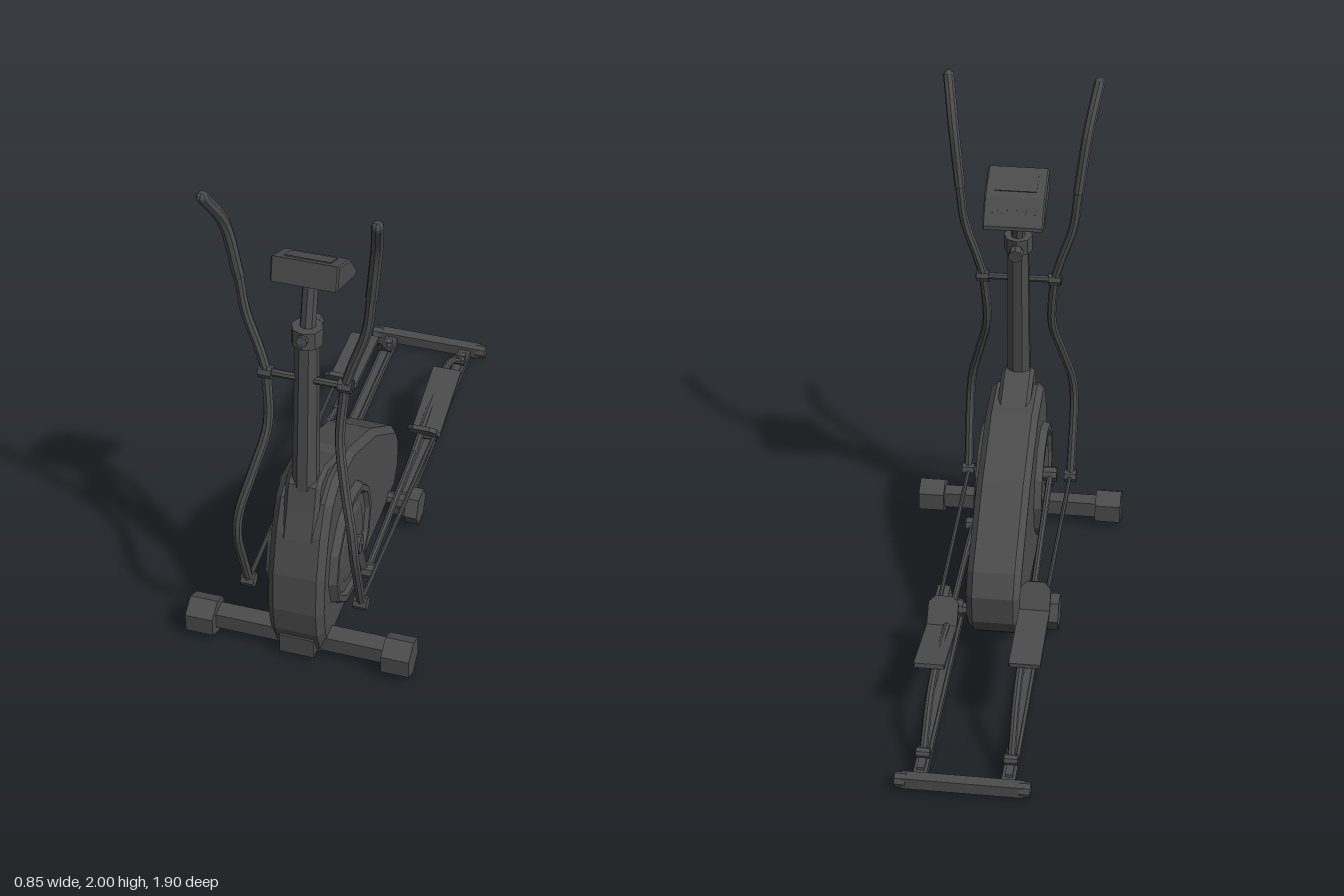
import * as THREE from 'three';

const darkGrey = new THREE.MeshStandardMaterial({ color: 0x4c4c4c, flatShading: true });
darkGrey.name = 'darkGrey';

const V = (x, y, z) => new THREE.Vector3(x, y, z);

export function createModel() {
  const model = new THREE.Group();
  model.name = 'ellipticalTrainer';

  const add = (name, geometry, x = 0, y = 0, z = 0) => {
    const mesh = new THREE.Mesh(geometry, darkGrey);
    mesh.name = name;
    mesh.position.set(x, y, z);
    model.add(mesh);
    return mesh;
  };
  const box = (name, w, h, d, x, y, z) => add(name, new THREE.BoxGeometry(w, h, d), x, y, z);

  // Straight bar between two points; four sides make a square bar
  const bar = (name, a, b, radius, sides = 8, endRadius = radius) => {
    const mesh = add(name, new THREE.CylinderGeometry(endRadius, radius, a.distanceTo(b), sides));
    mesh.position.copy(a).add(b).multiplyScalar(0.5);
    mesh.quaternion.setFromUnitVectors(V(0, 1, 0), b.clone().sub(a).normalize());
    return mesh;
  };
  // Bar lying across the machine
  const crossBar = (name, x, y, z, length, radius, sides = 8) =>
    bar(name, V(x - length / 2, y, z), V(x + length / 2, y, z), radius, sides);

  // Bent tube with closed ends
  const bentTube = (name, points, radius, segments = 24) => {
    const curve = new THREE.CatmullRomCurve3(points, false, 'centripetal');
    add(name, new THREE.TubeGeometry(curve, segments, radius, 8));
    for (const p of [points[0], points[points.length - 1]]) {
      add(name + 'End', new THREE.SphereGeometry(radius, 8, 6), p.x, p.y, p.z);
    }
  };

  // Side outline given as [z, y], extruded across x
  const sideExtrude = (name, outline, width, bevel = 0) => {
    const shape = new THREE.Shape(outline.map(([z, y]) => new THREE.Vector2(-z, y)));
    const g = new THREE.ExtrudeGeometry(shape, {
      depth: width - 2 * bevel, bevelEnabled: bevel > 0, bevelSize: bevel,
      bevelThickness: bevel, bevelOffset: -bevel, bevelSegments: 1,
    });
    g.translate(0, 0, bevel - width / 2);
    g.rotateY(Math.PI / 2);
    return add(name, g);
  };

  // Flywheel housing
  sideExtrude('housing', [
    [0.9, 0.04], [0.935, 0.14], [0.947, 0.25], [0.93, 0.41], [0.88, 0.57], [0.82, 0.68],
    [0.73, 0.725], [0.53, 0.7], [0.245, 0.555], [-0.04, 0.33], [-0.085, 0.24], [-0.075, 0.12], [-0.02, 0.04],
  ], 0.21, 0.025);
  sideExtrude('housingNeck', [
    [0.82, 0.75], [0.79, 0.77], [0.725, 0.775], [0.5, 0.67], [0.5, 0.55], [0.89, 0.55], [0.85, 0.65],
  ], 0.13, 0.015);
  box('housingBase', 0.16, 0.04, 0.88, 0, 0.035, 0.45);

  // Side wheels: raised rim around a recessed face with a raised centre
  const hubZ = 0.635, hubY = 0.34;
  const wheelProfile = [[0, 0.128], [0.13, 0.128], [0.155, 0.118], [0.19, 0.118],
    [0.2, 0.134], [0.222, 0.134], [0.235, 0.1]].map(([r, h]) => new THREE.Vector2(r, h)).reverse();
  for (const s of [1, -1]) {
    const wheel = add('sideWheel', new THREE.LatheGeometry(wheelProfile, 12), 0, hubY, hubZ);
    wheel.rotation.z = -s * Math.PI / 2;
  }

  // Front stabiliser
  box('frontStabiliser', 0.7, 0.065, 0.07, 0, 0.068, 0.865);
  box('frontBracket', 0.13, 0.085, 0.1, 0, 0.06, 0.88);
  for (const s of [1, -1]) {
    crossBar('frontFoot', s * 0.372, 0.068, 0.873, 0.105, 0.075, 6).rotateY(Math.PI / 6);
  }

  // Rear frame: rails, end bar and middle wheels
  crossBar('middleAxle', 0, 0.065, 0.08, 0.46, 0.026);
  box('rearBar', 0.44, 0.045, 0.045, 0, 0.033, -0.93);
  for (const s of [1, -1]) {
    box('railBase', 0.05, 0.03, 1.02, s * 0.16, 0.026, -0.4);
    box('railRidge', 0.028, 0.014, 0.96, s * 0.16, 0.046, -0.4);
    crossBar('middleWheel', s * 0.218, 0.068, 0.1, 0.05, 0.072, 6);
    crossBar('middleWheelHub', s * 0.165, 0.065, 0.085, 0.06, 0.036);
    crossBar('rearBarCap', s * 0.225, 0.033, -0.93, 0.04, 0.028);
  }

  // Mast, height post and clamp
  const mast = bar('mast', V(0, 0.72, 0.782), V(0, 1.37, 0.727), 0.049, 8, 0.043);
  mast.rotateY(Math.PI / 8);
  bar('mastCollar', V(0, 1.33, 0.732), V(0, 1.395, 0.726), 0.056);
  bar('consolePost', V(0, 1.37, 0.727), V(0, 1.59, 0.67), 0.028);
  bar('clampBolt', V(0, 1.375, 0.79), V(0, 1.35, 0.65), 0.011);
  bar('clampFrontKnob', V(0, 1.377, 0.795), V(0, 1.373, 0.772), 0.02);
  bar('clampRearKnob', V(0, 1.352, 0.665), V(0, 1.346, 0.628), 0.028);

  // Console with a thin display and buttons on its rider side
  sideExtrude('console', [
    [0.74, 1.675], [0.762, 1.585], [0.6, 1.52], [0.565, 1.505], [0.535, 1.505], [0.535, 1.52], [0.605, 1.61],
  ], 0.235, 0.006);
  const onConsole = (name, w, d, x, y, z, slope) => {
    box(name, w, 0.006, d, x, y, z).rotation.x = -slope;
  };
  onConsole('display', 0.16, 0.09, 0, 1.643, 0.672, Math.atan2(0.065, 0.135));
  for (let i = -2; i <= 2; i++) {
    onConsole('button', 0.022, 0.014, i * 0.036, 1.566, 0.571, Math.atan2(0.09, 0.07));
  }

  // Handle pivot
  crossBar('handlePivot', 0, 1.19, 0.757, 0.34, 0.014);

  // Swinging handles
  const handlePath = [[0.14, 1.19, 0.757], [0.13, 0.98, 0.79], [0.165, 0.82, 0.855], [0.205, 0.66, 0.908],
    [0.215, 0.55, 0.912], [0.215, 0.4, 0.87], [0.213, 0.24, 0.82]];
  const gripPath = [[0.14, 1.19, 0.757], [0.165, 1.28, 0.75], [0.212, 1.43, 0.745], [0.23, 1.58, 0.748],
    [0.258, 1.81, 0.785], [0.289, 1.975, 0.885]];
  for (const s of [1, -1]) {
    bentTube('handleLower', handlePath.map(([x, y, z]) => V(s * x, y, z)), 0.018);
    bentTube('handleUpper', gripPath.map(([x, y, z]) => V(s * x, y, z)), 0.018);
    bentTube('handGrip', gripPath.slice(3).map(([x, y, z]) => V(s * x, y, z)), 0.021, 12);
    crossBar('handleJoint', s * 0.142, 1.19, 0.757, 0.048, 0.025);
    crossBar('handleFoot', s * 0.213, 0.24, 0.82, 0.05, 0.027);
  }

  // Cranks, link rods, pedals and sliding arms; each side is at its own point of the stride
  const strides = [
    { s: 1, pin: [0.14, 0.56], joint: [0.165, -0.12], toe: [0.268, -0.125], ball: [0.178, -0.2], heel: [0.24, -0.53],
      arm: [[0.165, -0.1], [0.205, -0.36], [0.213, -0.54], [0.17, -0.67], [0.06, -0.81]] },
    { s: -1, pin: [0.45, 0.5], joint: [0.305, -0.1], toe: [0.41, -0.185], ball: [0.312, -0.24], heel: [0.305, -0.57],
      arm: [[0.308, -0.1], [0.29, -0.34], [0.268, -0.54], [0.21, -0.67], [0.06, -0.81]] },
  ];
  for (const { s, pin, joint, toe, ball, heel, arm } of strides) {
    const at = (x, [y, z]) => V(s * x, y, z);
    crossBar('crankHub', s * 0.135, hubY, hubZ, 0.05, 0.035);
    bar('crankArm', at(0.145, [hubY, hubZ]), at(0.145, pin), 0.018, 4);
    crossBar('crankPin', s * 0.16, pin[0], pin[1], 0.055, 0.03);
    bar('crankLink', at(0.16, pin), at(0.16, joint), 0.013);
    bar('handleLink', at(0.212, [0.24, 0.82]), at(0.212, [ball[0] - 0.01, ball[1]]), 0.009);
    crossBar('linkJoint', s * 0.185, ball[0] - 0.014, ball[1], 0.08, 0.012);
    bentTube('slideArm', arm.map((p) => at(0.16, p)), 0.015);
    crossBar('slideRoller', s * 0.16, 0.065, -0.81, 0.05, 0.02);

    // Foot plate, with the toe guard clipped at its corners
    const plate = (name, from, to, clip) => {
      const length = Math.hypot(to[0] - from[0], to[1] - from[1]);
      const shape = new THREE.Shape([[-0.058, 0], [0.058, 0], [0.058, length - clip], [0.058 - clip, length],
        [clip - 0.058, length], [-0.058, length - clip]].map(([x, y]) => new THREE.Vector2(x, y)));
      const g = new THREE.ExtrudeGeometry(shape, { depth: 0.018, bevelEnabled: false });
      g.translate(0, 0, -0.009);
      const mesh = add(name, g, s * 0.179, from[0], from[1]);
      mesh.rotation.x = Math.atan2(to[1] - from[1], to[0] - from[0]);
    };
    plate('footPlate', ball, heel, 0.004);
    plate('toeGuard', ball, toe, 0.025);
  }
  return model;
}
